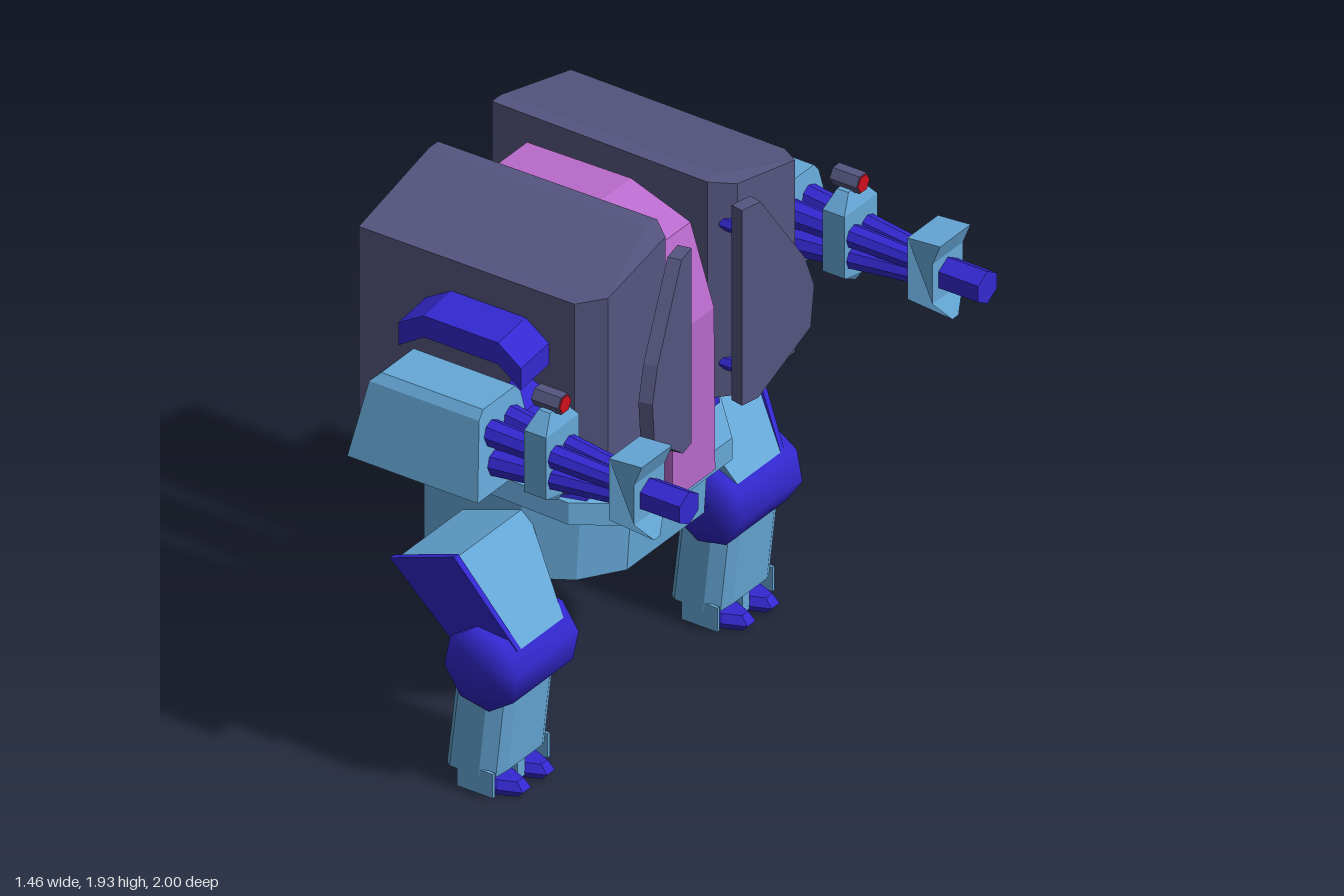
import * as THREE from 'three';
import { ConvexGeometry } from 'three/addons/geometries/ConvexGeometry.js';
import { mergeVertices } from 'three/addons/utils/BufferGeometryUtils.js';

const V = (p) => new THREE.Vector3(...p);
const mat = (color, flat = true) => new THREE.MeshStandardMaterial({ color, flatShading: flat });
const slate = mat(0x555580), sky = mat(0x66a8d8), blue = mat(0x3328d0), pink = mat(0xb86acb), red = mat(0xd01020);
const smoothBlue = mat(0x3328d0, false);

function add(parent, name, geo, material) {
  const m = new THREE.Mesh(geo, material);
  m.name = name;
  parent.add(m);
  return m;
}

// Convex solid around corner points; s = -1 mirrors it across z
const hull = (pts, s = 1) => new ConvexGeometry(pts.map(([x, y, z]) => new THREE.Vector3(x, y, z * s)));
// The same corner points on both sides of z = 0
const both = (pts) => pts.flatMap(([x, y, z]) => [[x, y, z], [x, y, -z]]);
// Convex points of an xy outline at two z depths
const slab = (outline, z0, z1) => outline.flatMap(([x, y]) => [[x, y, z0], [x, y, z1]]);

// Extruded xy outline between two z depths
function prism(outline, z0, z1) {
  const shape = new THREE.Shape(outline.map(([x, y]) => new THREE.Vector2(x, y)));
  const g = new THREE.ExtrudeGeometry(shape, { depth: Math.abs(z1 - z0), bevelEnabled: false });
  return g.translate(0, 0, Math.min(z0, z1));
}

// Tapered rod from a to b
function rod(a, b, ra, rb = ra, sides = 6, turn = 0) {
  const p = V(a), q = V(b), d = q.clone().sub(p);
  const g = new THREE.CylinderGeometry(rb, ra, d.length(), sides);
  g.rotateY(turn);
  g.applyQuaternion(new THREE.Quaternion().setFromUnitVectors(new THREE.Vector3(0, 1, 0), d.normalize()));
  return g.translate((p.x + q.x) / 2, (p.y + q.y) / 2, (p.z + q.z) / 2);
}

function buildPod(s) {
  const g = new THREE.Group();
  g.name = s > 0 ? 'leftPod' : 'rightPod';
  // Armoured body half with bevelled front corners and tapered underside
  add(g, 'podShell', hull([
    [-0.73, 1.93, 0.15], [-0.73, 1.93, 0.2], [-0.73, 1.83, 0.59], [-0.73, 1.12, 0.59], [-0.73, 1.12, 0.15],
    [0.12, 1.93, 0.14], [0.12, 1.93, 0.2], [0.11, 1.83, 0.585], [0.11, 1.12, 0.585], [0.12, 1.12, 0.14],
    [0.195, 1.92, 0.2], [0.195, 1.85, 0.52], [0.195, 1.13, 0.52], [0.195, 1.13, 0.2],
    [-0.55, 1.085, 0.2], [-0.55, 1.085, 0.52], [0, 1.045, 0.2], [0, 1.045, 0.52],
  ], s), slate);
  // Angled front door
  const door = [[0.15, 1.87], [0.23, 1.87], [0.42, 1.58], [0.46, 1.46], [0.445, 1.31], [0.22, 1.14], [0.15, 1.14]];
  add(g, 'door', hull(door.flatMap(([z, y]) => {
    const x = 0.207 + (z - 0.15) * 0.21;
    return [[x, y, z], [x + 0.048, y, z - 0.01]];
  }), s), slate);
  for (const y of [1.25, 1.77])
    add(g, 'doorHinge', rod([0.15, y, 0.185 * s], [0.225, y, 0.185 * s], 0.025), blue);
  // Swivel block under the pod
  add(g, 'waistBlock', hull([
    [-0.54, 1.1, 0.18], [-0.54, 1.1, 0.42], [-0.54, 1.02, 0.18], [-0.54, 1.02, 0.42],
    [-0.08, 1.1, 0.18], [-0.08, 1.1, 0.42], [-0.08, 0.93, 0.18], [-0.08, 0.93, 0.42],
    [0.005, 1.08, 0.23], [0.005, 1.08, 0.37], [0.005, 0.92, 0.23], [0.005, 0.92, 0.37],
  ], s), blue);
  return g;
}

function buildArm(s) {
  const g = new THREE.Group();
  g.name = s > 0 ? 'leftArm' : 'rightArm';
  const cz = 0.83, cy = 1.405;
  // Arched shoulder guard, sloping down outwards
  const arch = prism([[-0.47, 1.655], [-0.37, 1.715], [-0.08, 1.715], [0.01, 1.65], [0.01, 1.57],
    [-0.08, 1.635], [-0.37, 1.635], [-0.47, 1.57]], 0.57 * s, 0.74 * s);
  const p = arch.attributes.position;
  for (let i = 0; i < p.count; i++) p.setY(i, p.getY(i) - (Math.abs(p.getZ(i)) - 0.58) * 0.12);
  add(g, 'shoulderGuard', arch, blue);
  add(g, 'shoulderJoint', rod([-0.06, 1.39, 0.56 * s], [-0.06, 1.39, 0.72 * s], 0.11, 0.08, 8), blue);
  // Gun housing
  add(g, 'gunHousing', hull([
    ...[0.665, 1.0].flatMap((z) => [[-0.487, 1.26, z], [0.023, 1.26, z]]),
    ...[0.715, 0.945].flatMap((z) => [[-0.44, 1.53, z], [-0.01, 1.53, z]]),
    ...[0.74, 0.92].flatMap((z) => [[-0.41, 1.56, z], [-0.012, 1.56, z]]),
  ], s), sky);
  // Four converging barrels and the muzzle
  for (const a of [-1, 1]) for (const b of [-1, 1])
    add(g, 'barrel', rod([-0.02, cy + 0.055 * a, (cz + 0.055 * b) * s],
      [0.52, cy + 0.022 * a, (cz + 0.022 * b) * s], 0.047, 0.034, 8), blue);
  add(g, 'muzzle', rod([0.45, cy, cz * s], [0.73, cy, cz * s], 0.06, 0.06, 6, Math.PI / 2), blue);
  // Barrel clamps
  add(g, 'rearClamp', hull([
    ...[cz - 0.092, cz + 0.092].flatMap((z) => [[0.15, 1.31, z], [0.235, 1.31, z], [0.15, 1.54, z], [0.235, 1.54, z]]),
    ...[cz - 0.04, cz + 0.04].flatMap((z) => [[0.17, 1.6, z], [0.215, 1.6, z]]),
    [0.15, 1.29, cz], [0.235, 1.29, cz], [0.17, 1.255, cz], [0.215, 1.255, cz],
  ], s), sky);
  const flare = prism([[0.477, 1.545], [0.477, 1.315], [0.605, 1.25], [0.575, 1.33], [0.575, 1.48], [0.605, 1.555]],
    (cz - 0.085) * s, (cz + 0.085) * s);
  // Pinch the lower tip into a point
  const f = flare.attributes.position;
  for (let i = 0; i < f.count; i++) if (f.getY(i) < 1.28) f.setZ(i, s * cz + (f.getZ(i) - s * cz) * 0.2);
  add(g, 'frontClamp', flare, sky);
  // Sight with red lens
  add(g, 'sight', rod([0.138, 1.625, cz * s], [0.243, 1.625, cz * s], 0.037), slate);
  add(g, 'sightLens', rod([0.242, 1.625, cz * s], [0.247, 1.625, cz * s], 0.032), red);
  return g;
}

function buildLeg(s) {
  const g = new THREE.Group();
  g.name = s > 0 ? 'leftLeg' : 'rightLeg';
  add(g, 'hipJoint', rod([-0.22, 0.76, 0.36 * s], [-0.22, 0.76, 0.5 * s], 0.06, 0.06, 8), blue);
  // Slanted thigh, narrowing to the knee
  add(g, 'thigh', hull([
    ...slab([[-0.43, 0.8], [-0.2, 0.88]], 0.41, 0.79),
    ...slab([[-0.2, 0.47], [0, 0.57]], 0.49, 0.74),
  ], s), sky);
  add(g, 'thighPlate', hull([
    ...slab([[-0.44, 0.81], [-0.19, 0.9]], 0.805, 0.83),
    ...slab([[-0.2, 0.47], [0, 0.57]], 0.725, 0.745),
  ], s), blue);
  // Rounded knee drum
  let knee = rod([-0.11, 0.485, 0.455 * s], [-0.11, 0.485, 0.79 * s], 0.148, 0.148, 8, 0.2);
  knee.deleteAttribute('uv');
  knee.deleteAttribute('normal');
  knee = mergeVertices(knee);
  knee.computeVertexNormals();
  add(g, 'knee', knee, smoothBlue);
  // Shin with bevelled vertical edges
  const ring = (y, xb, xf) => [[xb, y, 0.48], [xb, y, 0.77], [xb + 0.02, y, 0.465], [xb + 0.02, y, 0.785],
    [xf - 0.07, y, 0.465], [xf - 0.07, y, 0.785], [xf - 0.02, y, 0.49], [xf - 0.02, y, 0.76],
    [xf, y + 0.015, 0.53], [xf, y + 0.015, 0.72]];
  add(g, 'shin', hull([...ring(0.08, -0.258, -0.055), ...ring(0.45, -0.215, -0.015)], s), sky);
  // Ankle plates
  for (const [z, w] of [[0.472, 0.012], [0.625, 0.04], [0.778, 0.012]]) {
    const plate = new THREE.BoxGeometry(0.14, 0.09, w);
    add(g, 'anklePlate', plate.translate(-0.14, 0.06, z * s), sky);
  }
  // Toes
  for (const z of [0.558, 0.692]) {
    const toe = new THREE.CylinderGeometry(0.8, 1, 0.03, 8).translate(0, 0.04, 0);
    const sole = new THREE.CylinderGeometry(1, 0.8, 0.025, 8).translate(0, 0.0125, 0);
    for (const geo of [toe, sole])
      add(g, 'toe', geo.rotateY(Math.PI / 8).scale(0.14, 1, 0.058).translate(-0.13, 0, z * s), blue);
  }
  return g;
}

export function createModel() {
  const model = new THREE.Group();
  model.name = 'walker';
  // Central cockpit spine
  add(model, 'cockpit', hull(both([
    [-0.55, 1.87, 0.09], [-0.15, 1.87, 0.1], [0.075, 1.78, 0.11], [0.165, 1.49, 0.113],
    [0.165, 0.88, 0.12], [-0.55, 1.02, 0.095],
  ])), pink);
  // Tilted deck plate
  const deck = [[-0.66, 0.54, 1.063], [-0.03, 0.42, 0.955], [0.14, 0.25, 0.925]];
  add(model, 'deck', hull(both(deck.flatMap(([x, z, y]) => [[x, y, z], [x, y - 0.082, z]]))), sky);
  // Pelvis with faceted front
  const pelvis = [[-0.58, 0.44, 0.97], [-0.2, 0.44, 0.9], [-0.03, 0.355, 0.87], [0.07, 0.215, 0.855]];
  add(model, 'pelvis', hull(both(pelvis.flatMap(([x, z, y], i) =>
    [[x, y, z], [x - (i > 1 ? 0.015 : 0), 0.62 + i * 0.004, z]]))), sky);
  for (const s of [1, -1]) model.add(buildPod(s), buildArm(s), buildLeg(s));
  return model;
}
